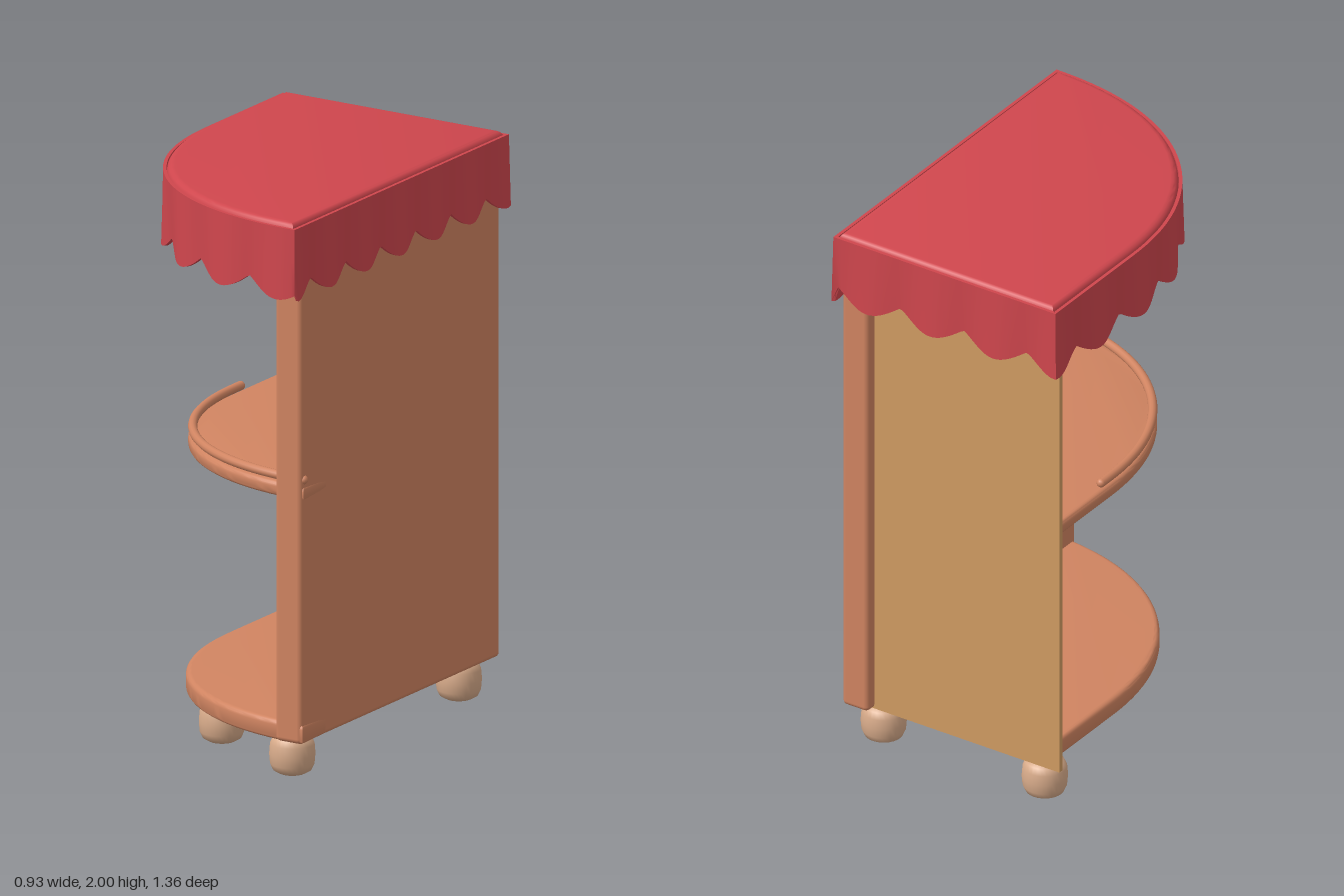
import * as THREE from 'three';
import { toCreasedNormals } from 'three/addons/utils/BufferGeometryUtils.js';
import { RoundedBoxGeometry } from 'three/addons/geometries/RoundedBoxGeometry.js';

const CURVE_START = -0.2; // z where the straight left side turns into the curved front

function material(name, color) {
  const m = new THREE.MeshStandardMaterial({ color });
  m.name = name;
  return m;
}

// Quarter-round curve from the front right tip to the left side, as (x, z) points
function arcPoints(x0, x1, z1, steps = 40) {
  const pts = [];
  const power = 2 / 2.15;
  for (let i = 0; i <= steps; i++) {
    const a = (i / steps) * Math.PI / 2;
    const s = i === 0 ? 0 : Math.sin(a) ** power;
    const c = i === steps ? 0 : Math.cos(a) ** power;
    pts.push(new THREE.Vector2(x1 - (x1 - x0) * s, CURVE_START + (z1 - CURVE_START) * c));
  }
  return pts;
}

// Horizontal slab with rounded edges
function slab(x0, x1, z0, z1, bottom, top, bevel, backX = x1) {
  const pts = [...arcPoints(x0, x1, z1), new THREE.Vector2(x0, z0), new THREE.Vector2(backX, z0)];
  const geo = new THREE.ExtrudeGeometry(new THREE.Shape(pts), {
    depth: top - bottom - 2 * bevel, bevelThickness: bevel, bevelSize: bevel,
    bevelOffset: -bevel, bevelSegments: 4,
  });
  geo.rotateX(Math.PI / 2);
  geo.translate(0, top - bevel, 0);
  return toCreasedNormals(geo, 0.7);
}

// Scalloped, gently rippled cloth band around the roof
function valanceGeometry() {
  const x = 0.455, front = 0.675, back = -0.67, top = 1.985, thick = 0.012;
  const curve = [...arcPoints(-x, x, front), new THREE.Vector2(-x, back)];
  const runs = [
    curve,
    [new THREE.Vector2(-x, back), new THREE.Vector2(x, back)],
    [new THREE.Vector2(x, back), new THREE.Vector2(x, front)],
  ];
  const path = [];
  let travelled = 0;
  runs.forEach((pts, r) => {
    const line = new THREE.Path(pts);
    const length = line.getLength();
    const n = Math.round(length / 0.014);
    line.getSpacedPoints(n).slice(0, n).forEach((p, i) => {
      const s = (i / n) * length;
      const phase = r === 2 ? (length - s - 0.115) / 0.22 : (travelled + s - 0.2) / 0.259;
      path.push({ p, t: phase - Math.floor(phase) });
    });
    travelled += length;
  });

  const ring = [[0, 0], [0.5, 0], [1, 0], [1, 1], [0.5, 1], [0, 1]]; // [drop, inside]
  const pos = [], index = [], N = path.length, M = ring.length;
  path.forEach(({ p, t }, i) => {
    const d = path[(i + 1) % N].p.clone().sub(path[(i + N - 1) % N].p).normalize();
    const hem = 1.73 + 0.06 * (1 - Math.sin(Math.PI * t));
    for (const [drop, inside] of ring) {
      const off = -0.008 * Math.cos(2 * Math.PI * t) * drop - thick * inside;
      pos.push(p.x + d.y * off, top - (top - hem) * drop, p.y - d.x * off);
    }
    for (let j = 0; j < M; j++) {
      const a = i * M + j, b = i * M + (j + 1) % M;
      const c = ((i + 1) % N) * M + j, e = ((i + 1) % N) * M + (j + 1) % M;
      index.push(a, c, b, b, c, e);
    }
  });
  const geo = new THREE.BufferGeometry();
  geo.setAttribute('position', new THREE.Float32BufferAttribute(pos, 3));
  geo.setIndex(index);
  return toCreasedNormals(geo, 0.7);
}

export function createModel() {
  const group = new THREE.Group();
  const wood = material('warm wood', 0xd08461);
  const tan = material('tan board', 0xd09c62);
  const red = material('red cloth', 0xcf464d);
  const pale = material('pale wood', 0xd8ab8a);

  function add(name, geo, mat, x = 0, y = 0, z = 0) {
    const mesh = new THREE.Mesh(geo, mat);
    mesh.name = name;
    mesh.position.set(x, y, z);
    group.add(mesh);
    return mesh;
  }

  // Upright panels
  add('sidePanel', new RoundedBoxGeometry(0.107, 1.81, 1.255, 4, 0.018), wood, 0.3815, 1.045, -0.0225);
  add('backPanel', new THREE.BoxGeometry(0.77, 1.81, 0.02), tan, -0.045, 1.045, -0.6);

  // Shelves, whose front tips pass just through the side panel
  add('bottomShelf', slab(-0.375, 0.44, -0.6, 0.602, 0.14, 0.212, 0.018, 0.4), wood);
  add('middleShelf', slab(-0.367, 0.44, -0.6, 0.595, 1.0, 1.053, 0.018, 0.4), wood);

  // Rail along the curved edge of the middle shelf
  const rail = arcPoints(-0.35, 0.43, 0.58, 24).map((p) => new THREE.Vector3(p.x, 1.074, p.y));
  rail.push(new THREE.Vector3(-0.35, 1.074, -0.24));
  add('shelfRail', new THREE.TubeGeometry(new THREE.CatmullRomCurve3(rail), 64, 0.016, 12), wood);
  for (const end of [rail[0], rail[rail.length - 1]]) {
    add('railEnd', new THREE.SphereGeometry(0.016, 12, 8), wood, end.x, end.y, end.z);
  }

  // Roof and its valance
  add('roof', slab(-0.44, 0.44, -0.66, 0.66, 1.92, 2.0, 0.025), red);
  add('valance', valanceGeometry(), red);

  // Rounded feet
  const profile = [[0, 0], [0.045, 0.002], [0.066, 0.014], [0.076, 0.036], [0.079, 0.07],
    [0.076, 0.106], [0.066, 0.128], [0.045, 0.14], [0, 0.142]].map(([r, y]) => new THREE.Vector2(r, y));
  const foot = new THREE.LatheGeometry(profile, 28);
  for (const [x, z] of [[0.33, 0.495], [-0.075, 0.305], [0.33, -0.55], [-0.33, -0.55]]) {
    add('foot', foot, pale, x, 0, z);
  }
  return group;
}
